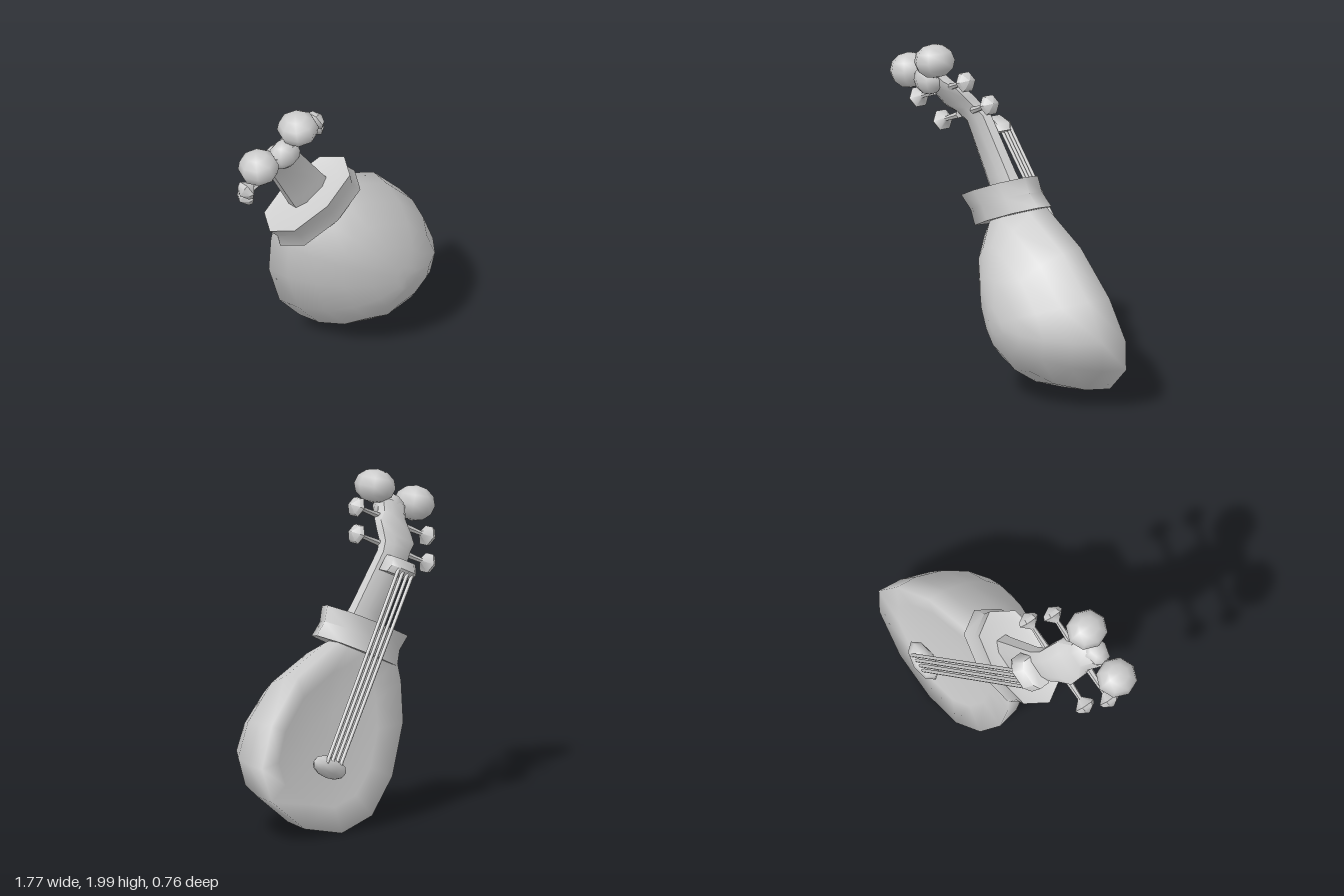
import * as THREE from 'three';
import { toCreasedNormals } from 'three/addons/utils/BufferGeometryUtils.js';

const V = (x, y, z) => new THREE.Vector3(x, y, z);
const material = new THREE.MeshStandardMaterial({ color: 0xcccccc });
const ACROSS = V(0.91, 0.415, 0); // sideways direction shared by neck, collar and pegs

// Skin a list of closed rings, fan-capping both ends; windings are turned outward.
function loft(rings, crease) {
  const n = rings[0].length, tris = [];
  const centre = (r) => r.reduce((s, p) => s.add(p), V(0, 0, 0)).divideScalar(n);
  const first = rings[0], last = rings[rings.length - 1];
  const c0 = centre(first), c1 = centre(last);
  for (let j = 0; j < n; j++) {
    const k = (j + 1) % n;
    tris.push([c0, first[k], first[j]], [c1, last[j], last[k]]);
    for (let i = 0; i + 1 < rings.length; i++) {
      const a = rings[i], b = rings[i + 1];
      tris.push([a[j], a[k], b[k]], [a[j], b[k], b[j]]);
    }
  }
  const volume = tris.reduce((s, [a, b, c]) => s + a.dot(b.clone().cross(c)), 0);
  const points = tris.flatMap(([a, b, c]) => (volume > 0 ? [a, b, c] : [a, c, b]));
  return toCreasedNormals(new THREE.BufferGeometry().setFromPoints(points), crease);
}

// Eight-sided ring around a centre: half width along ACROSS, half depth along z.
function section(c, hw, hd, power, phase) {
  return Array.from({ length: 8 }, (_, i) => {
    const t = ((i + phase) / 8) * Math.PI * 2;
    const f = (v) => Math.sign(v) * Math.abs(v) ** power;
    return c.clone().addScaledVector(ACROSS, hw * f(Math.cos(t))).add(V(0, 0, hd * f(Math.sin(t))));
  });
}

export function createModel() {
  const model = new THREE.Group();
  const add = (name, geometry, parent = model) => {
    const mesh = new THREE.Mesh(geometry, material);
    mesh.name = name;
    parent.add(mesh);
    return mesh;
  };

  // Pear-shaped bowl with a slightly hollow soundboard, shaded smoothly over the rim
  const outline = [
    [0.31, 0.005], [0.6, 0.07], [0.835, 0.26], [0.885, 0.46], [0.77, 0.7], [0.52, 0.95], [0.17, 1.11],
    [0, 1.15], [-0.17, 1.08], [-0.265, 0.95], [-0.28, 0.82], [-0.26, 0.58], [-0.13, 0.28], [0.06, 0.075],
  ];
  const apex = V(0.36, 0.51, 0.325);
  const rimZ = (x, y) => -0.325 + 0.17 * y - 0.03 * Math.max(0, x - 0.3);
  const bodyRing = (scale, height, dip) => outline.map(([x, y]) => {
    const px = apex.x + (x - apex.x) * scale, py = apex.y + (y - apex.y) * scale;
    const base = height === 0 ? rimZ(px, py) + dip : rimZ(x, y);
    return V(px, py, base + (apex.z - base) * height);
  });
  const rings = [bodyRing(0.3, 0, 0.03), bodyRing(0.7, 0, 0.02), bodyRing(1, 0, 0)];
  for (const deg of [16, 34, 51, 67, 82]) {
    const a = THREE.MathUtils.degToRad(deg);
    rings.push(bodyRing(Math.cos(a), Math.sin(a) ** 1.08, 0));
  }
  add('body', loft(rings, Math.PI));

  // Flared, waisted collar where the neck meets the body
  const collar = [
    [-1, 0.7], [-1, 1], [0, 0.93], [1, 1], [0.9, 0.75],
  ].map(([t, s]) => section(V(-0.1 - 0.055 * t, 1.09 + 0.082 * t, -0.02 + 0.015 * t), 0.325 * s, 0.18 * s, 0.85, 0));
  add('collar', loft(collar, 1.2));

  // Neck that bends forward into the widened peg box and ends in a rounded tip
  const neck = [
    [-0.06, 1.08, -0.04, 0.15, 0.075],
    [-0.17, 1.23, -0.025, 0.135, 0.06],
    [-0.38, 1.53, 0.005, 0.11, 0.055],
    [-0.43, 1.58, 0.04, 0.115, 0.06],
    [-0.47, 1.62, 0.08, 0.14, 0.065],
    [-0.49, 1.68, 0.13, 0.135, 0.06],
    [-0.53, 1.73, 0.18, 0.095, 0.06],
    [-0.575, 1.8, 0.24, 0.1, 0.06],
  ].map(([x, y, z, hw, hd]) => section(V(x, y, z), hw, hd, 0.75, 0.5));
  add('neck', loft(neck, 1));

  // Ball ornaments at the head, joined by a rounded hub
  const ball = (name, x, y, z, rx, ry, rz) => {
    const mesh = add(name, new THREE.SphereGeometry(1, 8, 6));
    mesh.position.set(x, y, z);
    mesh.scale.set(rx, ry, rz);
    mesh.rotation.z = 0.2;
  };
  ball('headBallRight', -0.77, 1.755, 0.25, 0.122, 0.107, 0.125);
  ball('headBallLeft', -0.465, 1.9, 0.258, 0.122, 0.102, 0.128);
  ball('headHub', -0.56, 1.755, 0.245, 0.11, 0.09, 0.08);

  // Tuning pegs: thin shaft and mushroom head, one at each end of two rows
  const pegProfile = [[0, 0.09], [0.022, 0.09], [0.015, 0.25], [0.066, 0.3], [0.055, 0.325], [0, 0.355]]
    .map(([r, h]) => new THREE.Vector2(r, h));
  const pegGeometry = toCreasedNormals(new THREE.LatheGeometry(pegProfile, 6), 0.9);
  for (const [row, c] of [['lower', V(-0.428, 1.558, 0.064)], ['upper', V(-0.522, 1.692, 0.172)]]) {
    for (const side of [-1, 1]) {
      const peg = add(row + (side > 0 ? 'LeftPeg' : 'RightPeg'), pegGeometry);
      peg.position.copy(c);
      peg.quaternion.setFromUnitVectors(V(0, 1, 0), ACROSS.clone().normalize().multiplyScalar(side));
    }
  }

  // Nut block that carries the upper ends of the strings
  const nut = [
    [-0.32, 1.435, -0.085, 0.11, 0.065],
    [-0.35, 1.47, -0.09, 0.11, 0.08],
    [-0.39, 1.515, -0.06, 0.1, 0.06],
  ].map(([x, y, z, hw, hd]) => section(V(x, y, z), hw, hd, 0.65, 0.5));
  add('nut', loft(nut, 1));

  // Leaf-shaped bridge on the soundboard
  const bridge = add('bridge', new THREE.SphereGeometry(1, 8, 6));
  bridge.position.set(0.39, 0.41, -0.305);
  bridge.scale.set(0.135, 0.065, 0.07);
  bridge.rotation.z = 0.43;

  // Four strings from bridge to nut
  const strings = new THREE.Group();
  strings.name = 'strings';
  model.add(strings);
  for (let i = 0; i < 4; i++) {
    const shift = (i - 1.5) * 0.036;
    const low = V(0.4, 0.43, -0.35).addScaledVector(ACROSS, shift);
    const high = V(-0.35, 1.47, -0.15).addScaledVector(ACROSS, shift * 1.1);
    const along = high.clone().sub(low);
    const string = add('string' + (i + 1), new THREE.CylinderGeometry(0.011, 0.011, along.length(), 6), strings);
    string.position.copy(low).addScaledVector(along, 0.5);
    string.quaternion.setFromUnitVectors(V(0, 1, 0), along.normalize());
  }
  return model;
}
